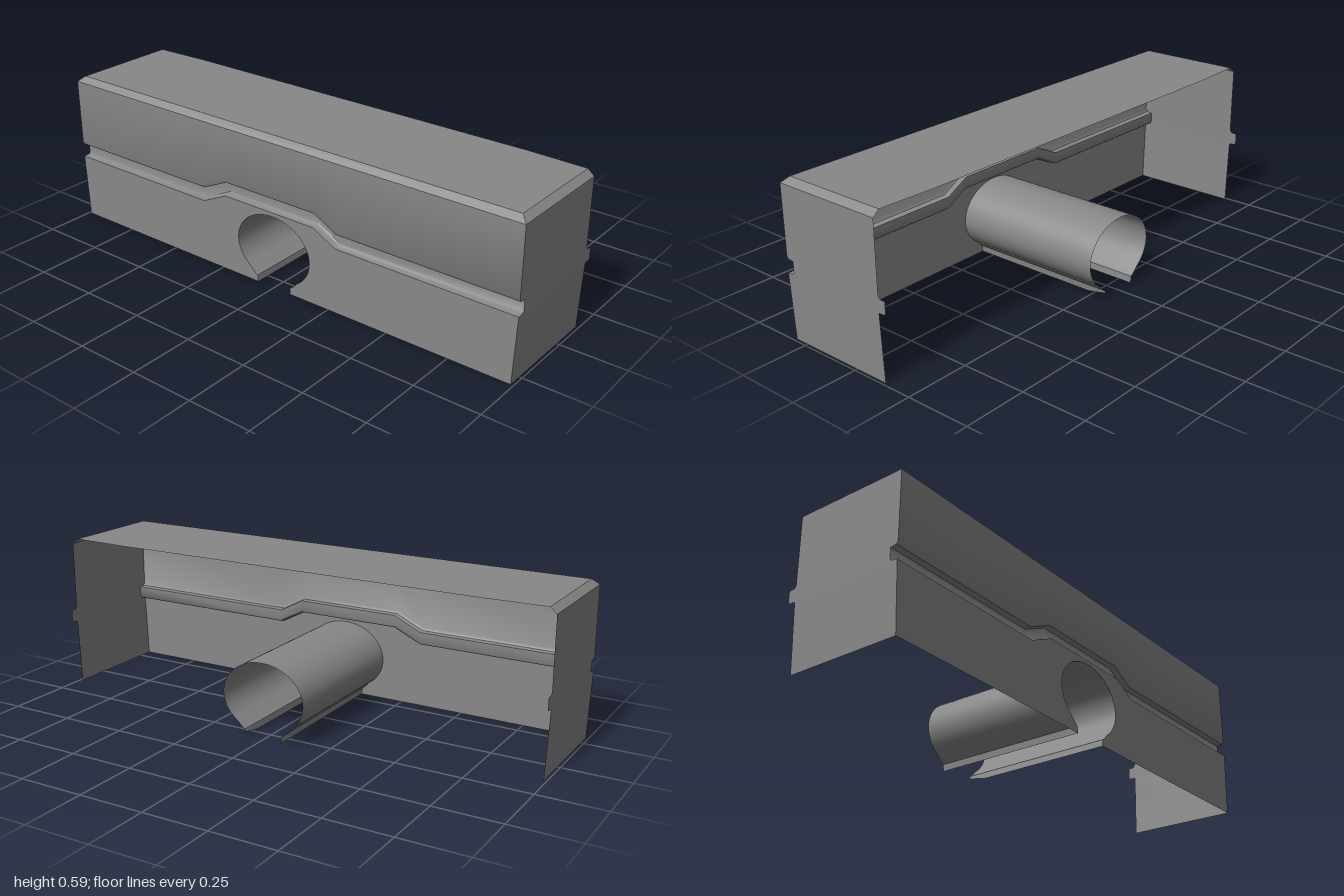
import * as THREE from 'three';
import { toCreasedNormals } from 'three/addons/utils/BufferGeometryUtils.js';

const FRONT = 0.305, BACK = -0.136, TUBE_BACK = -0.305;
const EDGE_Y = 0.573, TOP_Y = 0.594, TOP_X = 0.975, TOP_Z = 0.283;
const FOOT_X = 0.99;

// Groove cross-section as [height, shift in z]
const groove = [[0.253, 0], [0.255, -0.024], [0.261, -0.03], [0.303, -0.03], [0.305, -0.006], [0.315, 0]];
// Groove path along the front as [x, rise]
const path = [[-1, 0], [-0.335, 0], [-0.225, 0.051], [0.185, 0.051], [0.28, 0], [1, 0]];

const material = new THREE.MeshStandardMaterial({ color: 0x888888, side: THREE.DoubleSide });

function addMesh(group, name, geometry, crease = 0.5) {
  const mesh = new THREE.Mesh(toCreasedNormals(geometry, crease), material);
  mesh.name = name;
  group.add(mesh);
}

// Surface through rows of points; rows go up and columns go right as seen from outside
function surface(rows) {
  const n = rows[0].length, index = [];
  for (let r = 0; r < rows.length - 1; r++) {
    for (let c = 0; c < n - 1; c++) {
      const a = r * n + c;
      index.push(a, a + 1, a + n + 1, a, a + n + 1, a + n);
    }
  }
  const geometry = new THREE.BufferGeometry();
  geometry.setAttribute('position', new THREE.Float32BufferAttribute(rows.flat(2), 3));
  geometry.setIndex(index);
  return geometry;
}

// Open keyhole outline of the tube, from the right foot over the top to the left foot
function tubeOutline() {
  const foot = [[0.075, 0], [0.078, 0.026], [0.089, 0.033]];
  const points = [...foot];
  const start = -0.87, steps = 40;
  for (let i = 0; i <= steps; i++) {
    const t = start + (i / steps) * (Math.PI - 2 * start);
    points.push([0.167 * Math.cos(t), 0.155 + 0.134 * Math.sin(t)]);
  }
  return points.concat(foot.map(([x, y]) => [-x, y]).reverse());
}

export function createModel() {
  const group = new THREE.Group();
  group.name = 'housing';
  const outline = tubeOutline();

  // Lower front panel, cut out around the tube mouth
  const panel = new THREE.Shape();
  panel.moveTo(-FOOT_X, 0);
  [...outline].reverse().forEach(([x, y]) => panel.lineTo(x, y));
  panel.lineTo(FOOT_X, 0);
  [...path].reverse().forEach(([x, rise]) => panel.lineTo(x, groove[0][0] + rise));
  panel.closePath();
  addMesh(group, 'lowerFrontPanel', new THREE.ShapeGeometry(panel).translate(0, 0, FRONT));

  // Groove with its raised middle, blending softly into the upper front panel
  addMesh(group, 'grooveAndUpperFrontPanel', surface([
    ...groove.map(([y, dz]) => path.map(([x, rise]) => [x, y + rise, FRONT + dz])),
    path.map(([x]) => [x, EDGE_Y, FRONT]),
  ]), 0.8);

  // Side walls, stepped back along the groove, and their top bevels
  for (const side of [1, -1]) {
    const label = side > 0 ? 'left' : 'right';
    const order = (row) => (side > 0 ? row : row.reverse());
    const profile = [[0, 0], ...groove, [EDGE_Y, 0]];
    addMesh(group, label + 'Wall', surface(profile.map(([y, dz]) => {
      const x = side * (y === 0 ? FOOT_X : 1);
      return order([[x, y, FRONT + dz], [x, y, BACK + dz]]);
    })));
    addMesh(group, label + 'Bevel', surface([
      order([[side, EDGE_Y, FRONT], [side, EDGE_Y, BACK]]),
      order([[side * TOP_X, TOP_Y, TOP_Z], [side * TOP_X, TOP_Y, BACK]]),
    ]));
  }

  // Front bevel and top, whose back edge bows out slightly in the middle
  addMesh(group, 'frontBevel', surface([
    [[-1, EDGE_Y, FRONT], [1, EDGE_Y, FRONT]],
    [[-TOP_X, TOP_Y, TOP_Z], [TOP_X, TOP_Y, TOP_Z]],
  ]));
  const topEdge = [[-TOP_X, BACK], [-0.75, -0.145], [0.75, -0.145], [TOP_X, BACK]];
  addMesh(group, 'top', surface([
    topEdge.map(([x]) => [x, TOP_Y, TOP_Z]),
    topEdge.map(([x, z]) => [x, TOP_Y, z]),
  ]));

  // Open tube through the housing; one foot tapers up at its back end
  const tubeRows = [TUBE_BACK, -0.225, FRONT].map((z) => outline.map(([x, y], i) =>
    [x, i === 0 && z === TUBE_BACK ? 0.015 : y, z]));
  addMesh(group, 'tube', surface(tubeRows));

  return group;
}
